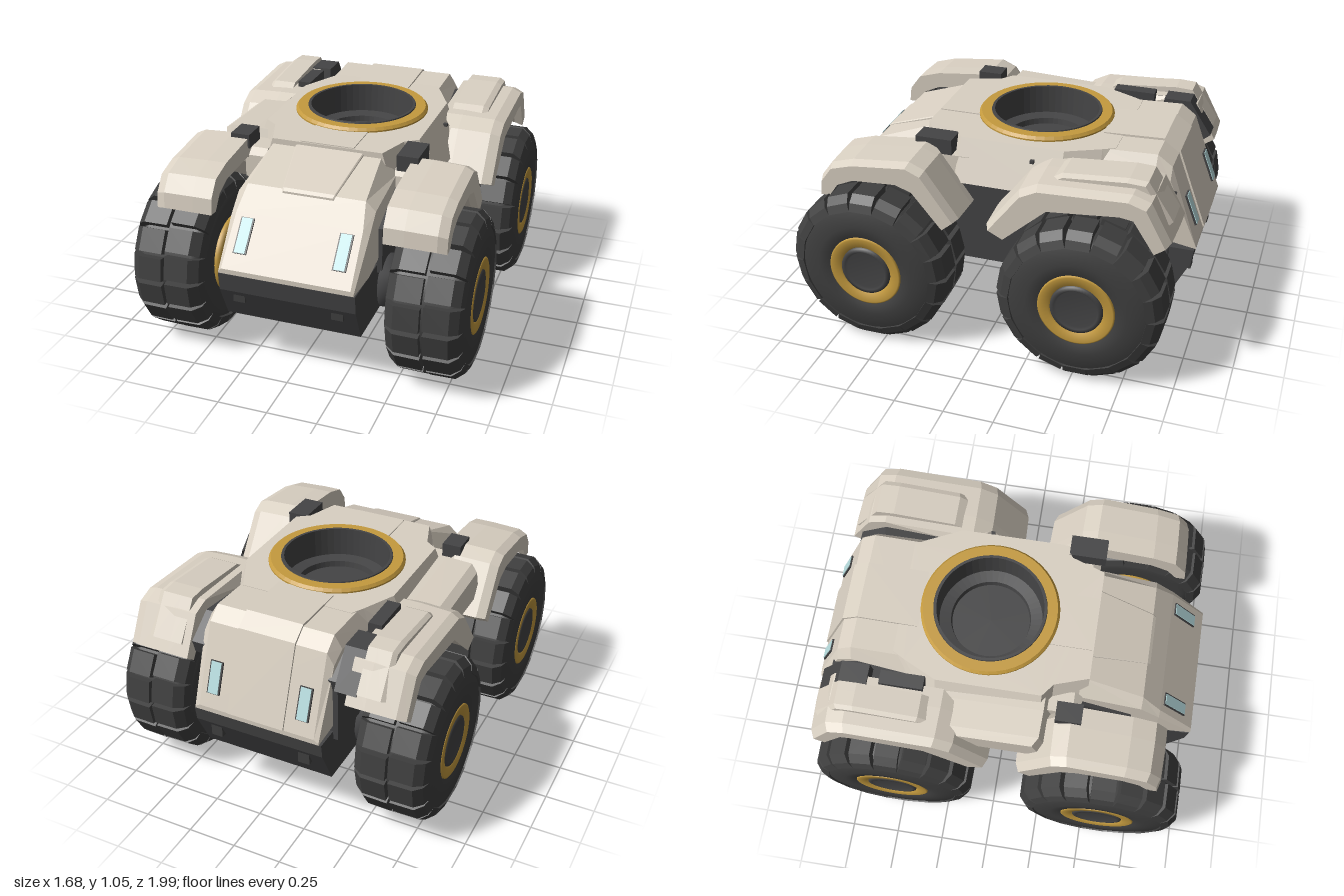
import * as THREE from 'three';

const mat = (name, color) => Object.assign(new THREE.MeshStandardMaterial({ color }), { name });

export function createModel() {
  const root = new THREE.Group();
  root.name = 'armouredRover';
  const cream = mat('cream armour', 0xd9d0c2), dark = mat('dark hull', 0x444445);
  const rubber = mat('tyre rubber', 0x404040), gold = mat('gold trim', 0xc49a3e);
  const glass = mat('light glass', 0xb8dddf);

  const add = (name, geo, material, parent = root) => {
    const m = new THREE.Mesh(geo, material);
    m.name = name;
    parent.add(m);
    return m;
  };
  const box = (name, x0, x1, y0, y1, z0, z1, material) => {
    const m = add(name, new THREE.BoxGeometry(x1 - x0, y1 - y0, z1 - z0), material);
    m.position.set((x0 + x1) / 2, (y0 + y1) / 2, (z0 + z1) / 2);
    return m;
  };
  const shapeOf = pts => new THREE.Shape(pts.map(([a, b]) => new THREE.Vector2(a, b)));

  // Mirror a non-indexed geometry across x, keeping faces outward
  const mirrorX = g => {
    g.scale(-1, 1, 1);
    const p = g.attributes.position, a = new THREE.Vector3(), b = new THREE.Vector3();
    for (let i = 0; i < p.count; i += 3) {
      a.fromBufferAttribute(p, i + 1); b.fromBufferAttribute(p, i + 2);
      p.setXYZ(i + 1, b.x, b.y, b.z); p.setXYZ(i + 2, a.x, a.y, a.z);
    }
    g.computeVertexNormals();
    return g;
  };

  // Side profile of (z, y) points, widened from x0 to x1; optional shrink towards `centre` at the outer
  // edge, and an inner edge that moves outward by inset(z)
  const slab = (pts, x0, x1, centre, shrink = [1, 1, 0.985, 0.94], inset = () => 0) => {
    const g = new THREE.ExtrudeGeometry(shapeOf(pts.map(([z, y]) => [-z, y])),
      { depth: x1 - x0, bevelEnabled: false, steps: centre ? 3 : 1 });
    g.rotateY(Math.PI / 2);
    g.translate(x0, 0, 0);
    if (centre) {
      const p = g.attributes.position;
      for (let i = 0; i < p.count; i++) {
        const t = Math.round((p.getX(i) - x0) / (x1 - x0) * 3);
        const k = shrink[t];
        if (t === 0) p.setX(i, x0 + inset(p.getZ(i)));
        if (t === 2) p.setX(i, x1 - (x1 - x0) * 0.15);
        p.setY(i, centre[1] + (p.getY(i) - centre[1]) * k);
        p.setZ(i, centre[0] + (p.getZ(i) - centre[0]) * k);
      }
      g.computeVertexNormals();
    }
    return g;
  };

  // Loft of chamfered sections [z, bottom, shoulder, top, halfWidth, topHalfWidth], front to back
  const loft = sections => {
    const rings = sections.map(([z, yb, ys, yt, w, wt]) =>
      [[-w, yb, z], [w, yb, z], [w, ys, z], [wt, yt, z], [-wt, yt, z], [-w, ys, z]]);
    const v = [], tri = (...c) => c.forEach(q => v.push(...q));
    for (let s = 0; s + 1 < rings.length; s++) for (let i = 0; i < 6; i++) {
      const j = (i + 1) % 6, a = rings[s], b = rings[s + 1];
      tri(a[i], b[i], a[j]); tri(a[j], b[i], b[j]);
    }
    const f = rings[0], l = rings[rings.length - 1];
    for (let i = 1; i < 5; i++) { tri(f[0], f[i], f[i + 1]); tri(l[0], l[i + 1], l[i]); }
    const g = new THREE.BufferGeometry();
    g.setAttribute('position', new THREE.Float32BufferAttribute(v, 3));
    g.computeVertexNormals();
    return g;
  };

  // Lower and upper dark hull
  add('lowerHull', slab([[0.985, 0.545], [0.975, 0.45], [0.9, 0.28], [-0.88, 0.28], [-0.975, 0.47], [-0.985, 0.545]], -0.345, 0.345), dark);
  add('upperHull', slab([[0.66, 0.5], [0.66, 0.74], [0.4, 0.84], [-0.75, 0.84], [-0.86, 0.8], [-0.86, 0.5]], -0.37, 0.37), dark);
  add('middleHull', slab([[0.14, 0.45], [0.2, 0.83], [-0.32, 0.83], [-0.1, 0.45]], -0.45, 0.45), dark);

  // Cream hood, rear deck and their raised centre panels
  add('hood', loft([[0.99, 0.55, 0.56, 0.575, 0.34, 0.325], [0.8, 0.55, 0.76, 0.79, 0.35, 0.32],
    [0.7, 0.57, 0.85, 0.895, 0.35, 0.3], [0.38, 0.6, 0.9, 1.005, 0.35, 0.28]]), cream);
  add('hoodPanel', loft([[0.715, 0.8, 0.885, 0.89, 0.13, 0.125], [0.7, 0.8, 0.898, 0.903, 0.135, 0.13],
    [0.4, 0.9, 1.007, 1.012, 0.18, 0.175]]).translate(0.015, 0, 0), cream);
  add('rearDeck', loft([[-0.48, 0.6, 0.92, 1.015, 0.37, 0.31], [-0.77, 0.6, 0.96, 1.025, 0.35, 0.31],
    [-0.845, 0.58, 0.91, 0.97, 0.345, 0.31], [-0.992, 0.55, 0.56, 0.575, 0.335, 0.31]]), cream);
  add('rearPanel', slab([[-0.46, 1.025], [-0.77, 1.036], [-0.852, 0.98], [-1, 0.58], [-0.97, 0.56], [-0.8, 0.9], [-0.5, 0.95]], -0.15, 0.15), cream);

  // Middle deck with turret opening; upper outline is drawn in to slope the sides
  const deckShape = shapeOf([[-0.35, -0.42], [0.35, -0.42], [0.42, -0.25], [0.5, -0.2], [0.5, 0.33],
    [0.4, 0.5], [0.36, 0.56], [-0.36, 0.56], [-0.4, 0.5], [-0.5, 0.33], [-0.5, -0.2], [-0.42, -0.25]]);
  deckShape.holes.push(new THREE.Path().absarc(0, 0.12, 0.3, 0, Math.PI * 2, true));
  const deck = new THREE.ExtrudeGeometry(deckShape, { depth: 0.2, bevelEnabled: false, curveSegments: 24 });
  deck.rotateX(-Math.PI / 2);
  deck.translate(0, 0.82, 0);
  const dp = deck.attributes.position;
  for (let i = 0; i < dp.count; i++) {
    const r = Math.hypot(dp.getX(i), dp.getZ(i) + 0.12);
    if (r > 0.31 && dp.getY(i) > 0.95) dp.setX(i, dp.getX(i) * 0.82);
    else if (r > 0.31) dp.setY(i, dp.getY(i) - 0.01);
  }
  deck.computeVertexNormals();
  add('middleDeck', deck, cream);
  box('deckFrontPanel', -0.14, 0.14, 1.0, 1.025, 0.2, 0.415, cream);

  // Turret ring and stepped well
  const lathe = (pts, seg = 48) => new THREE.LatheGeometry(pts.map(([r, y]) => new THREE.Vector2(r, y)), seg).toNonIndexed();
  const ringed = (name, pts, material) => {
    const g = lathe(pts);
    g.computeVertexNormals();
    add(name, g, material).position.z = -0.12;
  };
  ringed('turretRing', [[0.35, 0.99], [0.35, 1.028], [0.338, 1.042], [0.285, 1.042], [0.275, 1.03]], gold);
  ringed('turretWell', [[0.29, 1.03], [0.284, 1.048], [0.27, 1.048], [0.264, 0.9], [0.205, 0.89], [0.2, 0.86], [0, 0.86]], dark);

  // Fenders
  const frontFender = [[0.85, 0.77], [0.84, 0.85], [0.78, 0.93], [0.66, 0.965], [0.36, 0.995], [0.28, 0.96], [0.11, 0.72],
    [0.17, 0.67], [0.33, 0.865], [0.42, 0.895], [0.66, 0.88], [0.75, 0.84], [0.8, 0.77]];
  const rearFender = [[-0.02, 0.72], [-0.19, 0.94], [-0.28, 0.985], [-0.74, 1.005], [-0.83, 0.975], [-0.935, 0.78],
    [-0.88, 0.74], [-0.77, 0.91], [-0.7, 0.92], [-0.33, 0.885], [-0.1, 0.68]];
  const ridge = [[-0.3, 0.96], [-0.38, 1.01], [-0.7, 1.035], [-0.79, 1.03], [-0.915, 0.84], [-0.88, 0.82], [-0.76, 0.95]];
  for (const s of [1, -1]) {
    const side = s > 0 ? 'left' : 'right', put = g => (s > 0 ? g : mirrorX(g));
    const soft = [1, 1, 0.985, 0.94];
    add(side + 'FrontFender', put(slab(frontFender, 0.43, 0.73, [0.52, 0.55], soft, z => (z < 0.3 ? 0.06 : 0))), cream);
    add(side + 'RearFender', put(slab(rearFender, s > 0 ? 0.4 : 0.44, 0.735, [-0.5, 0.55], soft, z => (z > -0.25 ? 0.07 : 0))), cream);
    add(side + 'FenderRidge', put(slab(ridge, s > 0 ? 0.44 : 0.49, 0.63, [-0.55, 0.7], [1, 1, 1, 0.96])), cream);
    add(side + 'RearFenderMount', put(slab([[-0.25, 0.8], [-0.3, 0.9], [-0.74, 0.95], [-0.88, 0.85], [-0.86, 0.78]], 0.33, 0.46)), dark);
    add(side + 'DeckBracket', put(slab([[0.4, 0.78], [0.4, 0.9], [0.36, 0.93], [0.15, 0.93], [0.15, 0.78]], 0.34, 0.45)), cream);

    // Lights in dark frames, front and rear, and tow sockets
    for (const [end, x, y, z, tilt, h] of [['Front', 0.25, 0.705, 0.876, -0.724, 0.18], ['Rear', 0.24, 0.725, -0.941, 0.37, 0.165]]) {
      const g = new THREE.Group();
      g.name = side + end + 'Light';
      g.position.set(s * x, y, z);
      g.rotation.x = tilt;
      root.add(g);
      const out = z > 0 ? 0.006 : -0.006;
      add('frame', new THREE.BoxGeometry(0.068, h, 0.009), dark, g).position.z = out * 0.4;
      add('lens', new THREE.BoxGeometry(0.054, h - 0.006, 0.009), glass, g).position.z = out;
      box(side + end + 'TowSocket', s * x - 0.03, s * x + 0.03, 0.39, 0.45, z > 0 ? 0.93 : -0.965, z > 0 ? 0.965 : -0.93, rubber);
    }
  }

  // Side pod and small dark deck fittings
  add('rightSidePod', mirrorX(slab([[-0.32, 0.8], [-0.27, 0.955], [0.22, 0.975], [0.28, 0.8]], 0.38, 0.65, [0, 0.75], [1, 1, 0.98, 0.85])), cream);
  box('leftFrontFitting', 0.36, 0.47, 0.94, 1.02, 0.23, 0.42, dark);
  box('rightFrontFitting', -0.52, -0.42, 0.94, 1.012, 0.28, 0.41, dark);
  box('rightRearFitting', -0.47, -0.4, 0.86, 1.02, -0.6, -0.38, dark);
  add('rightRearBlock', slab([[-0.64, 0.85], [-0.66, 1.01], [-0.8, 1.01], [-0.92, 0.83], [-0.86, 0.78]], -0.49, -0.38), dark);
  box('leftDeckSlot', 0.4, 0.455, 0.95, 0.965, -0.19, -0.17, dark);

  // Wheels: tyre, two rows of lugs, gold rims and axle
  const axial = pts => lathe(pts).rotateZ(-Math.PI / 2);
  const tyreGeo = axial([[0.17, 0.48], [0.3, 0.465], [0.35, 0.485], [0.38, 0.52], [0.38, 0.77], [0.35, 0.81],
    [0.335, 0.832], [0.25, 0.842], [0.195, 0.838], [0.185, 0.82], [0.13, 0.815]]);
  const outerRim = axial([[0.192, 0.815], [0.19, 0.836], [0.182, 0.84], [0.138, 0.836], [0.128, 0.815]]);
  const hubGeo = axial([[0.132, 0.815], [0.128, 0.834], [0.108, 0.838], [0.1, 0.825], [0, 0.825]]);
  const innerRim = axial([[0.1, 0.445], [0.19, 0.445], [0.205, 0.465], [0.19, 0.5]]);
  const axleGeo = axial([[0.09, 0.3], [0.09, 0.35], [0.135, 0.36], [0.135, 0.41], [0.11, 0.42], [0.11, 0.46]]);
  const lug = (pts, w) => new THREE.ExtrudeGeometry(shapeOf(pts), { depth: w, bevelEnabled: false }).translate(0, 0, -w / 2);
  const outerLug = lug([[0.662, 0.36], [0.662, 0.411], [0.785, 0.409], [0.825, 0.375], [0.84, 0.335], [0.8, 0.33]], 0.118);
  const innerLug = lug([[0.645, 0.36], [0.645, 0.411], [0.52, 0.409], [0.475, 0.375], [0.462, 0.335], [0.5, 0.33]], 0.118);
  const N = 18;
  for (const [end, z] of [['Front', 0.568], ['Rear', -0.522]]) for (const s of [1, -1]) {
    const wheel = new THREE.Group();
    wheel.name = (s > 0 ? 'left' : 'right') + end + 'Wheel';
    wheel.position.set(0, 0.415, z);
    if (s < 0) wheel.rotation.y = Math.PI;
    root.add(wheel);
    add('tyre', tyreGeo, rubber, wheel);
    add('outerRim', outerRim, gold, wheel);
    add('hub', hubGeo, dark, wheel);
    add('innerRim', innerRim, gold, wheel);
    add('axle', axleGeo, dark, wheel);
    for (let i = 0; i < N; i++) {
      add('outerLug', outerLug, rubber, wheel).rotation.x = i / N * Math.PI * 2;
      add('innerLug', innerLug, rubber, wheel).rotation.x = (i + 0.12) / N * Math.PI * 2;
    }
  }
  return root;
}
